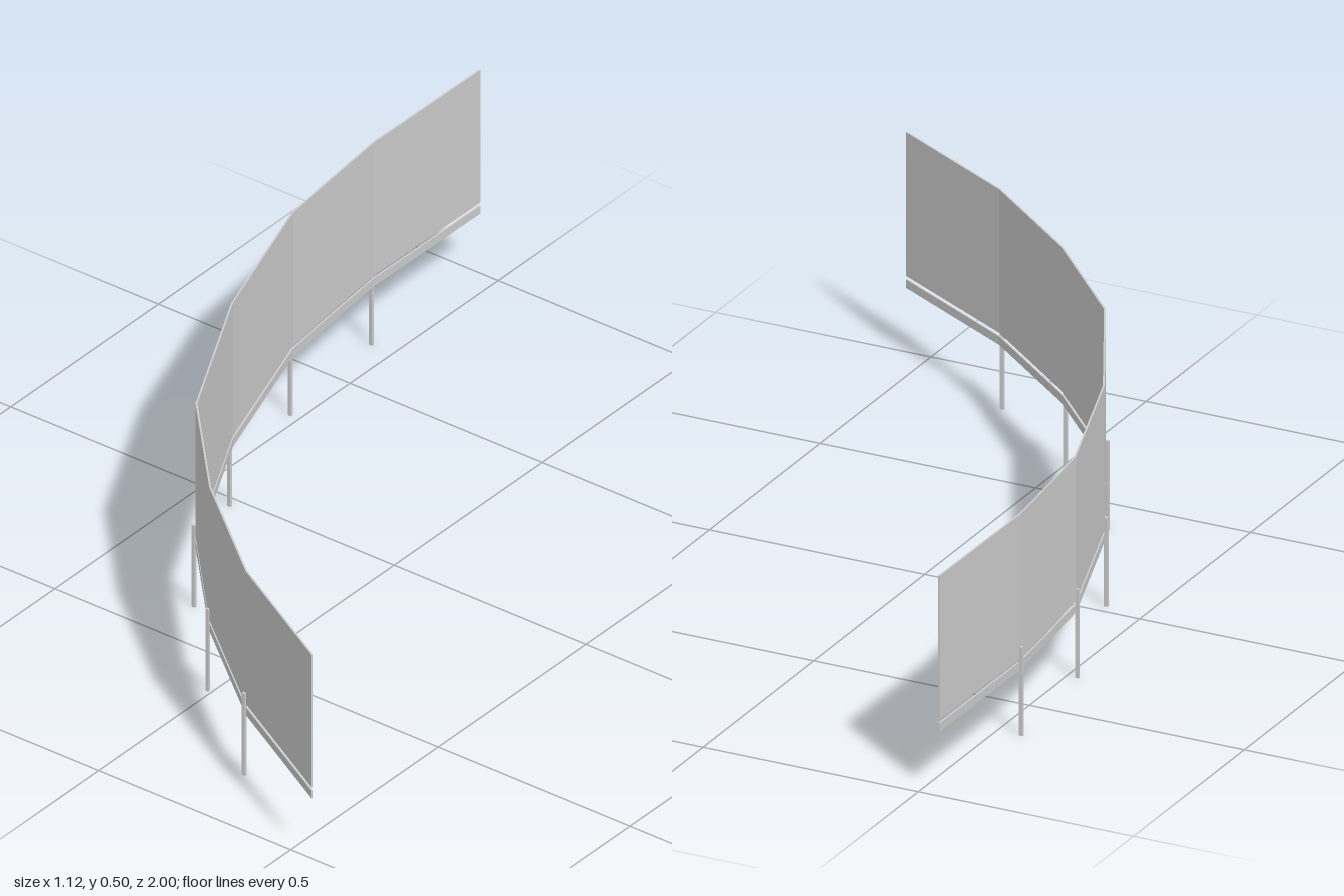
import * as THREE from 'three';

// plan of the bend as [x, z]
const path = [
  [-0.548, -1], [-0.551, -0.645], [-0.519, -0.328], [-0.404, 0.025],
  [-0.226, 0.376], [-0.007, 0.614], [0.25, 0.825], [0.555, 0.998],
].map(([x, z]) => new THREE.Vector2(x, z));

// outward (convex side) normal of segment i
function segmentNormal(i) {
  const d = path[i + 1].clone().sub(path[i]).normalize();
  return new THREE.Vector2(-d.y, d.x);
}

// mitred outward normal at every corner of the plan
const normals = path.map((_, i) => {
  const a = segmentNormal(Math.max(i - 1, 0));
  const b = segmentNormal(Math.min(i, path.length - 2));
  const m = a.clone().add(b).normalize();
  return m.divideScalar(m.dot(a));
});

const offsetPath = (d) => path.map((p, i) => p.clone().addScaledVector(normals[i], d));

// thin wall following the plan between two heights
function wall(name, y0, y1, thickness, material) {
  const outline = [...offsetPath(thickness / 2), ...offsetPath(-thickness / 2).reverse()];
  const shape = new THREE.Shape(outline.map((p) => new THREE.Vector2(p.x, -p.y)));
  const geometry = new THREE.ExtrudeGeometry(shape, { depth: y1 - y0, bevelEnabled: false });
  geometry.rotateX(-Math.PI / 2);
  geometry.translate(0, y0, 0);
  const mesh = new THREE.Mesh(geometry, material);
  mesh.name = name;
  return mesh;
}

export function createModel() {
  const group = new THREE.Group();
  group.name = 'curvedBarrier';
  const material = new THREE.MeshStandardMaterial({ color: 0xcccccc, flatShading: true });

  // tall board with a narrow rail just below it
  group.add(wall('board', 0.173, 0.497, 0.004, material));
  group.add(wall('lowerRail', 0.146, 0.165, 0.004, material));

  // slim posts on the outer side of each inner corner
  const postGeometry = new THREE.BoxGeometry(0.008, 0.2, 0.006);
  offsetPath(0.005).slice(1, -1).forEach((p, i) => {
    const post = new THREE.Mesh(postGeometry, material);
    post.name = `post${i + 1}`;
    post.position.set(p.x, 0.1, p.y);
    group.add(post);
  });
  return group;
}
